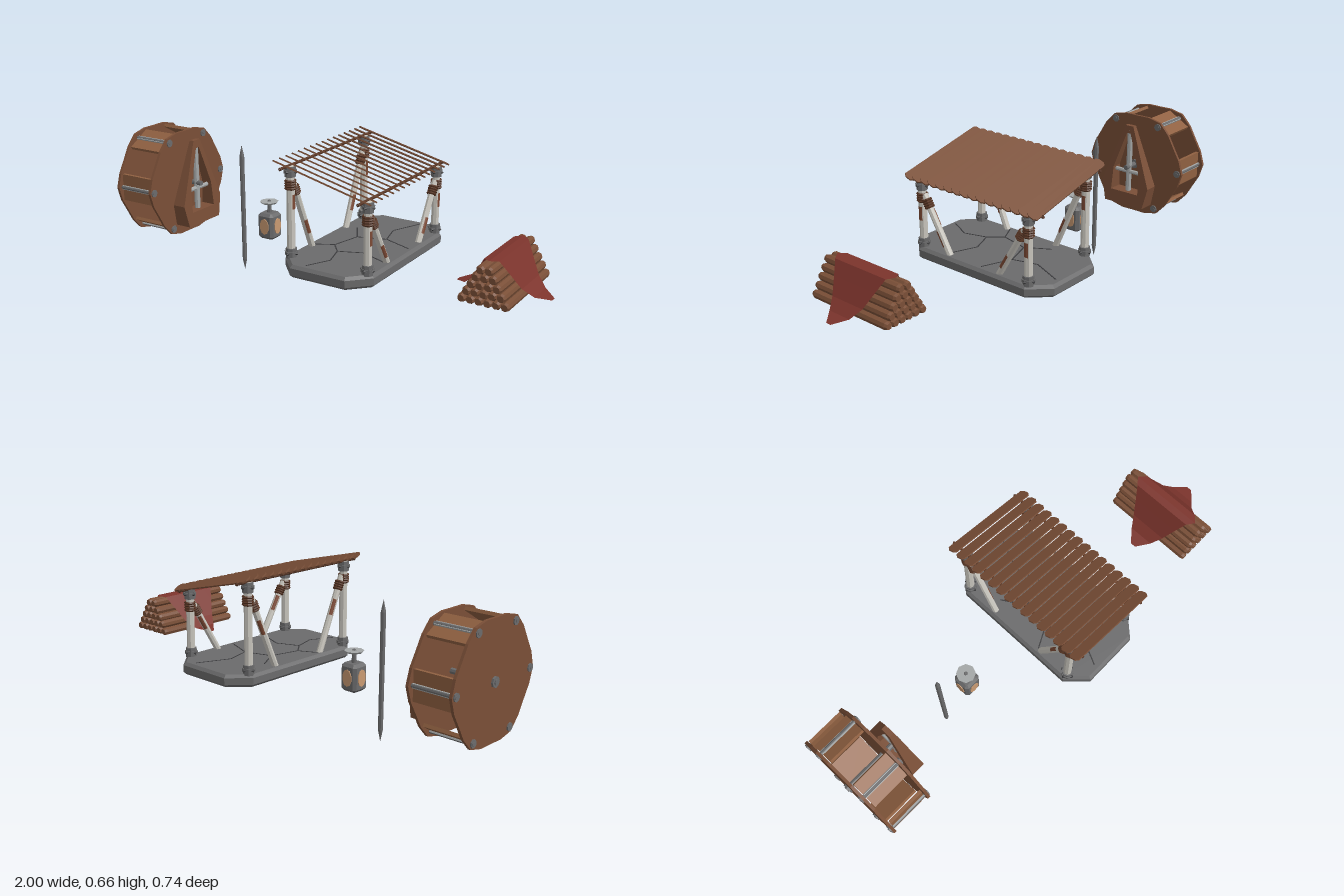
import * as THREE from 'three';

const paint = (name, color, side = THREE.FrontSide) => {
  const m = new THREE.MeshStandardMaterial({ color, side });
  m.name = name;
  return m;
};

export function createModel() {
  const wood = paint('brown wood', 0x7a4f37);
  const darkWood = paint('dark wood', 0x573524);
  const paddleWood = paint('light wood', 0x8f6041);
  const stone = paint('grey stone', 0x6b6b6c);
  const crackGrey = paint('crack grey', 0x3c3c3e);
  const steel = paint('pale metal', 0xa3a6a6);
  const white = paint('weathered white', 0xc9c6be);
  const rust = paint('rust', 0x7d4a35);
  const red = paint('red cloth', 0x7c342c, THREE.DoubleSide);
  const tan = paint('tan panel', 0xc99a72);

  const model = new THREE.Group();
  model.name = 'waterWheelYard';

  const group = (name, parent = model) => {
    const g = new THREE.Group();
    g.name = name;
    parent.add(g);
    return g;
  };
  // Faceted mesh: splitting the vertices gives one normal per face
  const add = (parent, name, geo, mat, x = 0, y = 0, z = 0) => {
    const g = geo.index ? geo.toNonIndexed() : geo;
    g.computeVertexNormals();
    const m = new THREE.Mesh(g, mat);
    m.name = name;
    m.position.set(x, y, z);
    parent.add(m);
    return m;
  };
  const UP = new THREE.Vector3(0, 1, 0);
  // Straight bar between two points
  const rod = (parent, name, a, b, r, mat, sides = 8) => {
    const A = new THREE.Vector3(...a), B = new THREE.Vector3(...b);
    const d = B.clone().sub(A);
    const m = add(parent, name, new THREE.CylinderGeometry(r, r, d.length(), sides), mat);
    m.position.copy(A).add(B).multiplyScalar(0.5);
    m.quaternion.setFromUnitVectors(UP, d.normalize());
    return m;
  };
  const outline = pts => new THREE.Shape(pts.map(p => new THREE.Vector2(p[0], p[1])));
  const cutRect = (w, h, cx, cy) => outline([[w - cx, -h], [w, cy - h], [w, h - cy], [w - cx, h],
    [cx - w, h], [-w, h - cy], [-w, cy - h], [cx - w, -h]]);
  // Extruded outline, centred in depth
  const slab = (shape, depth, bevel = 0) => new THREE.ExtrudeGeometry(shape, {
    depth: depth - 2 * bevel, bevelEnabled: bevel > 0, bevelThickness: bevel,
    bevelSize: bevel, bevelOffset: -bevel, bevelSegments: 1, curveSegments: 1,
  }).translate(0, 0, bevel - depth / 2);

  // ---- Water wheel ----
  const wheel = group('waterWheel');
  wheel.position.set(-0.89, 0.37, 0);
  const rim = [];
  for (let i = 0; i < 24; i++) {
    const a = i * Math.PI / 12, r = [0.256, 0.245, 0.236, 0.245][i % 4];
    rim.push([Math.cos(a) * r, Math.sin(a) * r]);
  }
  for (const s of [-1, 1]) {
    add(wheel, 'wheelDisc', slab(outline(rim), 0.012).rotateY(-Math.PI / 2), wood, s * 0.092);
    rod(wheel, 'hubPlate', [s * 0.094, 0, 0], [s * 0.106, 0, 0], 0.022, stone);
  }
  rod(wheel, 'axle', [-0.11, 0, 0], [0.175, 0, 0], 0.012, stone);
  for (let i = 0; i < 6; i++) {
    const spoke = group('paddleSet', wheel);
    spoke.rotation.x = i * Math.PI / 3;
    add(spoke, 'paddle', new THREE.BoxGeometry(0.165, 0.12, 0.014), paddleWood, 0, 0, 0.225);
    add(spoke, 'paddleBar', new THREE.BoxGeometry(0.165, 0.018, 0.008), steel, 0, 0, 0.235);
    rod(spoke, 'wheelRod', [-0.105, 0, 0.234], [0.105, 0, 0.234], 0.008, stone);
    for (const s of [-1, 1]) {
      rod(spoke, 'wheelBolt', [s * 0.094, 0, 0.232], [s * 0.103, 0, 0.232], 0.017, stone);
    }
  }

  // ---- A-frame that carries the axle ----
  const frame = group('axleFrame');
  const frameShape = outline([[-0.105, 0.19], [0.105, 0.19], [0.128, 0.29], [0.092, 0.385],
    [0.022, 0.57], [-0.022, 0.57], [-0.092, 0.385], [-0.128, 0.29]]);
  frameShape.holes.push(new THREE.Path([[-0.075, 0.25], [-0.07, 0.36], [-0.01, 0.535], [0.01, 0.535],
    [0.07, 0.36], [0.075, 0.25]].map(p => new THREE.Vector2(...p))));
  const frameGeo = slab(frameShape, 1).rotateY(-Math.PI / 2);
  const fp = frameGeo.attributes.position;
  for (let i = 0; i < fp.count; i++) { // thins towards the top
    fp.setX(i, fp.getX(i) * (0.076 - 0.054 * (fp.getY(i) - 0.19) / 0.38));
  }
  add(frame, 'framePlate', frameGeo, wood, -0.743);
  rod(frame, 'framePost', [-0.743, 0.24, 0], [-0.743, 0.55, 0], 0.013, steel);
  rod(frame, 'frameCrossbar', [-0.743, 0.345, -0.075], [-0.743, 0.345, 0.075], 0.01, steel);

  // ---- Pointed stake ----
  add(model, 'stake', new THREE.LatheGeometry([[0, 0], [0.01, 0.05], [0.0105, 0.53], [0, 0.58]]
    .map(p => new THREE.Vector2(...p)), 8), stone, -0.48, 0.002, 0);

  // ---- Lantern ----
  const lantern = group('lantern');
  lantern.position.set(-0.337, 0, 0);
  add(lantern, 'lanternBody', slab(cutRect(0.04, 0.04, 0.012, 0.012), 0.116, 0.012).rotateX(-Math.PI / 2),
    stone, 0, 0.242, 0);
  for (let i = 0; i < 4; i++) {
    const side = group('lanternSide', lantern);
    side.rotation.y = i * Math.PI / 2;
    add(side, 'lanternPanel', new THREE.CylinderGeometry(1, 1, 0.005, 10).rotateX(Math.PI / 2)
      .scale(0.023, 0.036, 1), tan, 0, 0.243, 0.041);
  }
  add(lantern, 'lanternStem', new THREE.CylinderGeometry(0.007, 0.011, 0.05, 8), stone, 0, 0.322, 0);
  add(lantern, 'lanternTop', new THREE.CylinderGeometry(0.041, 0.034, 0.008, 8), steel, 0, 0.346, 0);
  add(lantern, 'lanternKnob', new THREE.CylinderGeometry(0.006, 0.009, 0.005, 6), stone, 0, 0.352, 0);

  // ---- Shelter: stone base ----
  const shelter = group('shelter');
  add(shelter, 'stoneBase', slab(cutRect(0.206, 0.37, 0.08, 0.085), 0.053, 0.012).rotateX(-Math.PI / 2),
    stone, 0.15, 0.2225, 0);
  const cracks = [
    [[-0.03, 0.12], [0.05, 0.08], [0.1, 0.14], [0.2, 0.1], [0.33, 0.15]],
    [[0.05, 0.08], [0.08, -0.05], [0.02, -0.15]],
    [[0.08, -0.05], [0.2, -0.09], [0.33, -0.04]],
    [[0.2, -0.09], [0.17, -0.2], [0.23, -0.34]],
    [[0.1, 0.14], [0.13, 0.24], [0.08, 0.34]],
  ];
  for (const line of cracks) for (let i = 1; i < line.length; i++) {
    const [a, b] = [line[i - 1], line[i]], dx = b[0] - a[0], dz = b[1] - a[1];
    add(shelter, 'crack', new THREE.BoxGeometry(Math.hypot(dx, dz), 0.002, 0.005), crackGrey,
      (a[0] + b[0]) / 2, 0.2493, (a[1] + b[1]) / 2).rotation.y = -Math.atan2(dz, dx);
  }

  // ---- Shelter: posts, collars, braces and lashings ----
  const lashing = (parent, y, r) => {
    for (let i = 0; i < 4; i++) {
      add(parent, 'lashing', new THREE.TorusGeometry(r, 0.006, 5, 8).rotateX(Math.PI / 2), darkWood,
        0, y + i * 0.01 - 0.015, 0);
    }
  };
  for (const [x, top] of [[-0.027, 0.625], [0.326, 0.54]]) for (const s of [-1, 1]) {
    const post = group('post', shelter);
    post.position.set(x, 0, s * 0.283);
    rod(post, 'postShaft', [0, 0.24, 0], [0, top, 0], 0.017, white);
    for (const y of [0.265, top - 0.022]) {
      add(post, 'collar', new THREE.CylinderGeometry(0.023, 0.023, 0.042, 8), stone, 0, y, 0);
      add(post, 'collarBand', new THREE.CylinderGeometry(0.027, 0.027, 0.014, 8), stone, 0, y, 0);
      for (const [bx, bz] of [[1, 0], [-1, 0], [0, 1], [0, -1]]) {
        add(post, 'collarBolt', new THREE.OctahedronGeometry(0.009), crackGrey, bx * 0.024, y, bz * 0.024);
      }
    }
    const joint = top - 0.075;
    lashing(post, joint, 0.019);
    // Brace leans from the post in towards the middle of the base
    const brace = rod(post, 'brace', [0, 0.245, -s * 0.15], [0, joint + 0.015, -s * 0.012], 0.014, white);
    lashing(brace, (joint - 0.23) * 0.4, 0.016);
    for (const [y, turn] of [[-0.06, 0.6], [0.03, 3.4]]) {
      add(brace, 'rustPatch', new THREE.CylinderGeometry(0.0152, 0.0152, 0.07, 3, 1, true, turn, 1.1), rust, 0, y, 0);
    }
    add(post, 'rustPatch', new THREE.CylinderGeometry(0.0178, 0.0178, 0.06, 3, 1, true, 1, 1.1), rust,
      0, joint - 0.07, 0);
  }

  // ---- Shelter: sloping roof of tilted slats ----
  const roof = group('roof', shelter);
  roof.position.set(0.145, 0.596, 0);
  roof.rotation.z = -0.237;
  for (let i = 0; i < 16; i++) {
    add(roof, 'roofSlat', slab(cutRect(0.222, 0.0238, 0.01, 0.012), 0.006).rotateX(-Math.PI / 2), wood,
      0, 0, 0.329 - i * 0.0434).rotation.x = -0.45;
  }
  for (const x of [-0.178, 0.182]) {
    rod(roof, 'roofRail', [x, -0.013, -0.35], [x, -0.013, 0.35], 0.006, darkWood, 6);
    for (const z of [-0.345, 0.345]) {
      add(roof, 'railKnob', new THREE.OctahedronGeometry(0.009), darkWood, x, -0.013, z);
    }
  }

  // ---- Log pile ----
  const pile = group('logPile');
  pile.position.set(0.808, 0, 0.088);
  const logProfile = [[0, -0.205], [0.013, -0.205], [0.0178, -0.193], [0.0178, 0.193], [0.013, 0.205], [0, 0.205]]
    .map(p => new THREE.Vector2(...p));
  for (let row = 0; row < 5; row++) for (let i = 0, n = 6 - row; i < n; i++) {
    const log = add(pile, 'log', new THREE.LatheGeometry(logProfile, 8), wood,
      (i - (n - 1) / 2) * 0.034, 0.242 + row * 0.0305, 0);
    log.rotation.set(Math.PI / 2, (row * 5 + i * 3) * 0.37, 0);
  }

  // ---- Cloth draped over the pile: distance from ridge, height, half width ----
  const drape = [[0, 0.39, 0.162], [0.03, 0.386, 0.138], [0.062, 0.335, 0.112], [0.1, 0.275, 0.083],
    [0.14, 0.241, 0.055], [0.192, 0.226, 0.012]];
  const sections = [...drape.slice(1).reverse().map(([d, y, w]) => [-d, y, w]), ...drape];
  const cols = 6, verts = [], faces = [];
  sections.forEach(([x, y, w], r) => {
    for (let c = 0; c <= cols; c++) verts.push(x, y, (c / cols * 2 - 1) * w);
    if (r) for (let c = 0; c < cols; c++) {
      const a = (r - 1) * (cols + 1) + c, b = a + cols + 1;
      faces.push(a, a + 1, b, b, a + 1, b + 1);
    }
  });
  const cloth = new THREE.BufferGeometry();
  cloth.setAttribute('position', new THREE.Float32BufferAttribute(verts, 3));
  cloth.setIndex(faces);
  add(pile, 'cloth', cloth, red);

  return model;
}
